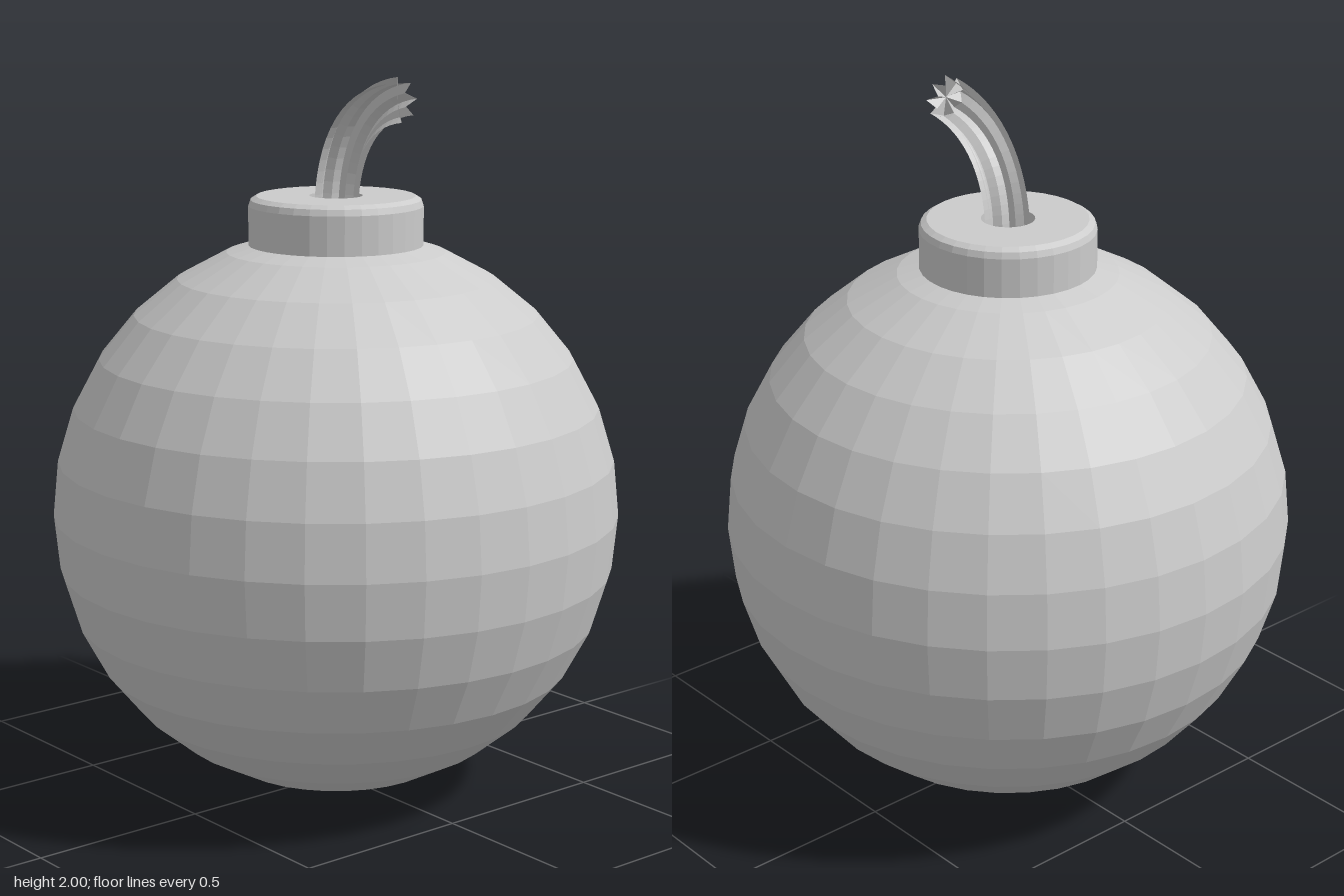
import * as THREE from 'three';

const material = new THREE.MeshStandardMaterial({ color: 0xcccccc, flatShading: true });

function addPart(group, name, geometry) {
  const flat = geometry.index ? geometry.toNonIndexed() : geometry;
  flat.computeVertexNormals();
  const mesh = new THREE.Mesh(flat, material);
  mesh.name = name;
  group.add(mesh);
  return mesh;
}

// Fluted cord swept along a curve, with a frayed, jagged end
function cordGeometry(curve, lobes, outer, inner, steps, fray) {
  const sides = lobes * 2;
  const positions = [];
  const index = [];
  const across = new THREE.Vector3(0, 0, 1);
  for (let i = 0; i <= steps; i++) {
    const centre = curve.getPointAt(i / steps);
    const tangent = curve.getTangentAt(i / steps);
    const up = new THREE.Vector3().crossVectors(across, tangent);
    for (let j = 0; j < sides; j++) {
      const angle = (j / sides) * Math.PI * 2;
      const valley = j % 2 === 1;
      const r = valley ? inner : outer;
      const p = centre.clone()
        .addScaledVector(up, r * Math.cos(angle))
        .addScaledVector(across, r * Math.sin(angle));
      // Valleys of the last ring are pulled back
      if (i === steps && valley) p.addScaledVector(tangent, -fray);
      positions.push(p.x, p.y, p.z);
    }
  }
  for (let i = 0; i < steps; i++) {
    for (let j = 0; j < sides; j++) {
      const k = (j + 1) % sides;
      const a = i * sides + j, b = i * sides + k;
      const c = a + sides, d = b + sides;
      index.push(a, c, b, b, c, d);
    }
  }
  // End fan
  const tip = curve.getPointAt(1).addScaledVector(curve.getTangentAt(1), -fray * 0.4);
  positions.push(tip.x, tip.y, tip.z);
  const hub = (steps + 1) * sides;
  for (let j = 0; j < sides; j++) {
    index.push(hub, steps * sides + ((j + 1) % sides), steps * sides + j);
  }
  const geometry = new THREE.BufferGeometry();
  geometry.setAttribute('position', new THREE.Float32BufferAttribute(positions, 3));
  geometry.setIndex(index);
  // The winding must agree with the outward direction
  return geometry;
}

export function createModel() {
  const group = new THREE.Group();
  group.name = 'bomb';

  // Round body
  const body = addPart(group, 'body', new THREE.SphereGeometry(0.786, 32, 16));
  body.position.y = 0.786;

  // Collar with a rounded upper edge and a recessed fuse hole
  const profile = [
    [0.24, 1.5], [0.24, 1.638], [0.234, 1.655], [0.218, 1.665],
    [0.073, 1.665], [0.073, 1.6], [0, 1.6],
  ].map(([r, y]) => new THREE.Vector2(r, y));
  addPart(group, 'collar', new THREE.LatheGeometry(profile, 32));

  // Fuse curving up and out to the left
  const path = new THREE.CubicBezierCurve3(
    new THREE.Vector3(0, 1.6, 0),
    new THREE.Vector3(0, 1.8, 0),
    new THREE.Vector3(0.1, 1.92, 0),
    new THREE.Vector3(0.265, 1.941, 0),
  );
  addPart(group, 'fuse', cordGeometry(path, 8, 0.06, 0.047, 16, 0.028));

  return group;
}
